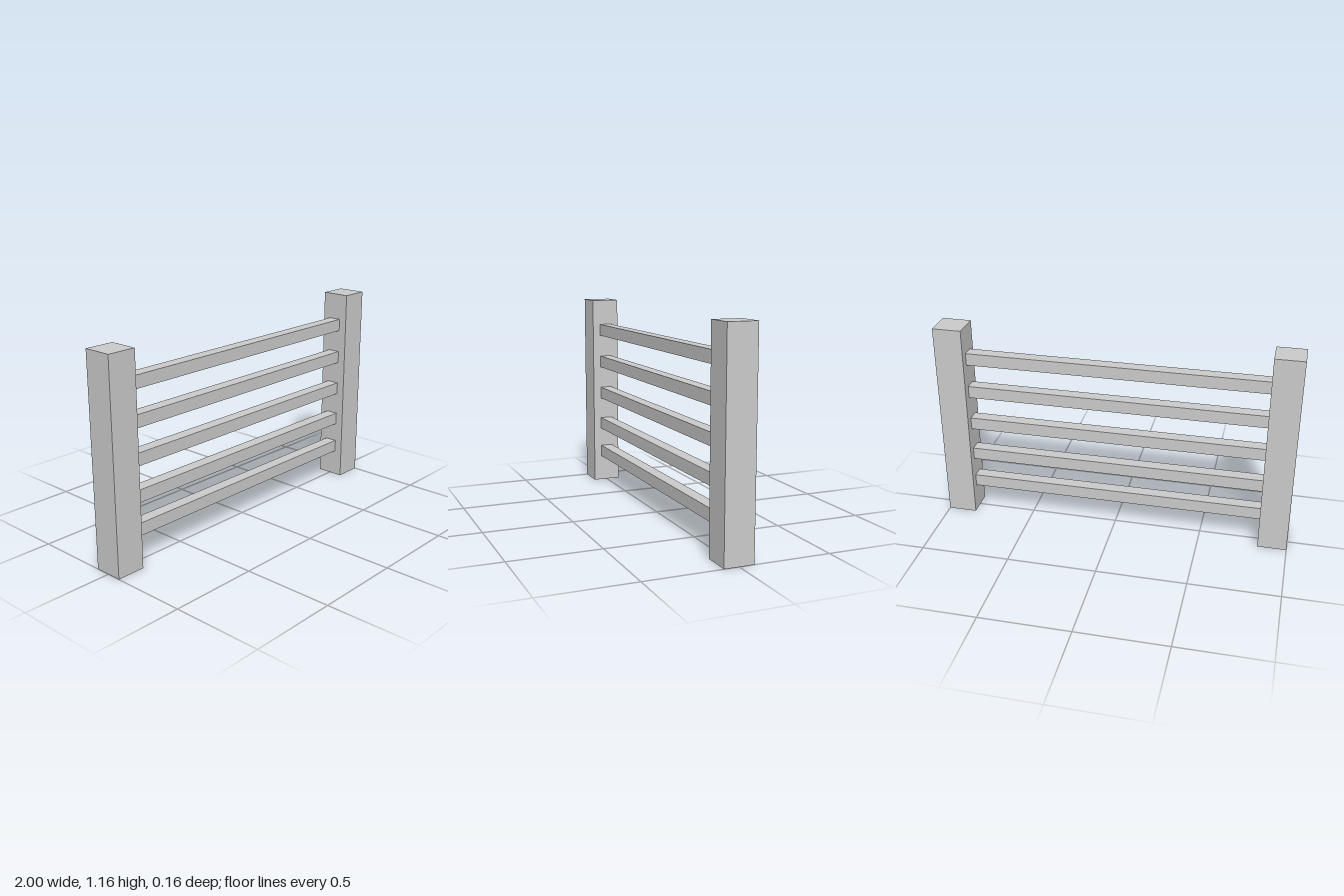
import * as THREE from 'three';

const HEIGHT = 1.157, POST = 0.162, RAIL = 0.07;

export function createModel() {
  const model = new THREE.Group();
  model.name = 'fence';
  const material = new THREE.MeshStandardMaterial({ color: 0xcccccc, flatShading: true });

  const addBox = (name, w, h, d, x, y) => {
    const mesh = new THREE.Mesh(new THREE.BoxGeometry(w, h, d), material);
    mesh.name = name;
    mesh.position.set(x, y, 0);
    model.add(mesh);
  };

  // Square end posts
  const postX = 1 - POST / 2;
  addBox('leftPost', POST, HEIGHT, POST, postX, HEIGHT / 2);
  addBox('rightPost', POST, HEIGHT, POST, -postX, HEIGHT / 2);

  // Horizontal rails spanning between the posts, bottom to top
  [0.19, 0.372, 0.57, 0.77, 0.971].forEach((y, i) => {
    addBox(`rail${i + 1}`, 2 - 2 * POST, RAIL, RAIL, 0, y);
  });

  return model;
}
